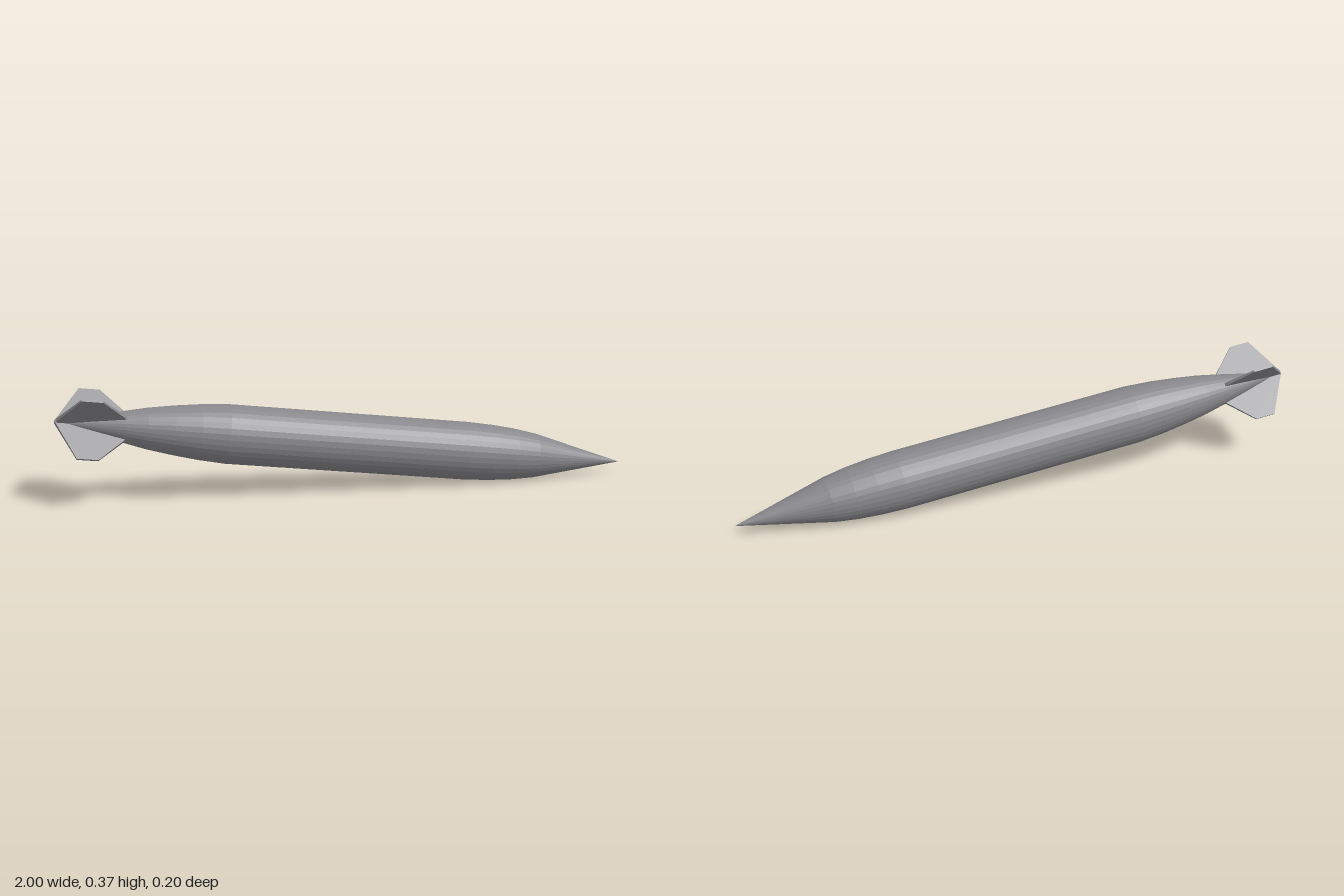
import * as THREE from 'three';

const LENGTH = 2.0146;
const TILT = 0.1205;

// Tapered fin: outline in (radius, distance from tail), thinner towards the tip
function finGeometry() {
  const outline = [[0, 0], [0.14, 0.078], [0.14, 0.149], [0.054, 0.237], [0, 0.237]];
  const shape = new THREE.Shape(outline.map(([r, s]) => new THREE.Vector2(r, s - LENGTH / 2)));
  const geo = new THREE.ExtrudeGeometry(shape, { depth: 1, bevelEnabled: false });
  geo.translate(0, 0, -0.5);
  const pos = geo.attributes.position;
  for (let i = 0; i < pos.count; i++) {
    const thickness = THREE.MathUtils.lerp(0.015, 0.007, pos.getX(i) / 0.14);
    pos.setZ(i, pos.getZ(i) * thickness);
  }
  geo.computeVertexNormals();
  return geo;
}

export function createModel() {
  const model = new THREE.Group();
  const material = new THREE.MeshStandardMaterial({ color: 0x88888c, flatShading: true });

  // Built upright along y, then laid over with the nose towards +x and dipping
  const torpedo = new THREE.Group();
  torpedo.name = 'torpedo';
  torpedo.rotation.z = -Math.PI / 2 - TILT;
  torpedo.position.y = 0.163;
  model.add(torpedo);

  // Hull: curved pointed tail, straight middle, curved pointed nose
  const profile = [
    [0, -LENGTH / 2], [0.054, -0.775], [0.07, -0.7], [0.084, -0.61], [0.095, -0.52], [0.102, -0.425],
    [0.102, 0.43], [0.098, 0.52], [0.091, 0.6], [0.079, 0.68], [0, LENGTH / 2],
  ].map(([r, y]) => new THREE.Vector2(r, y));
  const hull = new THREE.Mesh(new THREE.LatheGeometry(profile, 32), material);
  hull.name = 'hull';
  torpedo.add(hull);

  // Four tail fins in an X
  const finGeo = finGeometry();
  for (let i = 0; i < 4; i++) {
    const fin = new THREE.Mesh(finGeo, material);
    fin.name = `tailFin${i + 1}`;
    fin.rotation.y = Math.PI / 4 + (i * Math.PI) / 2;
    torpedo.add(fin);
  }

  return model;
}
